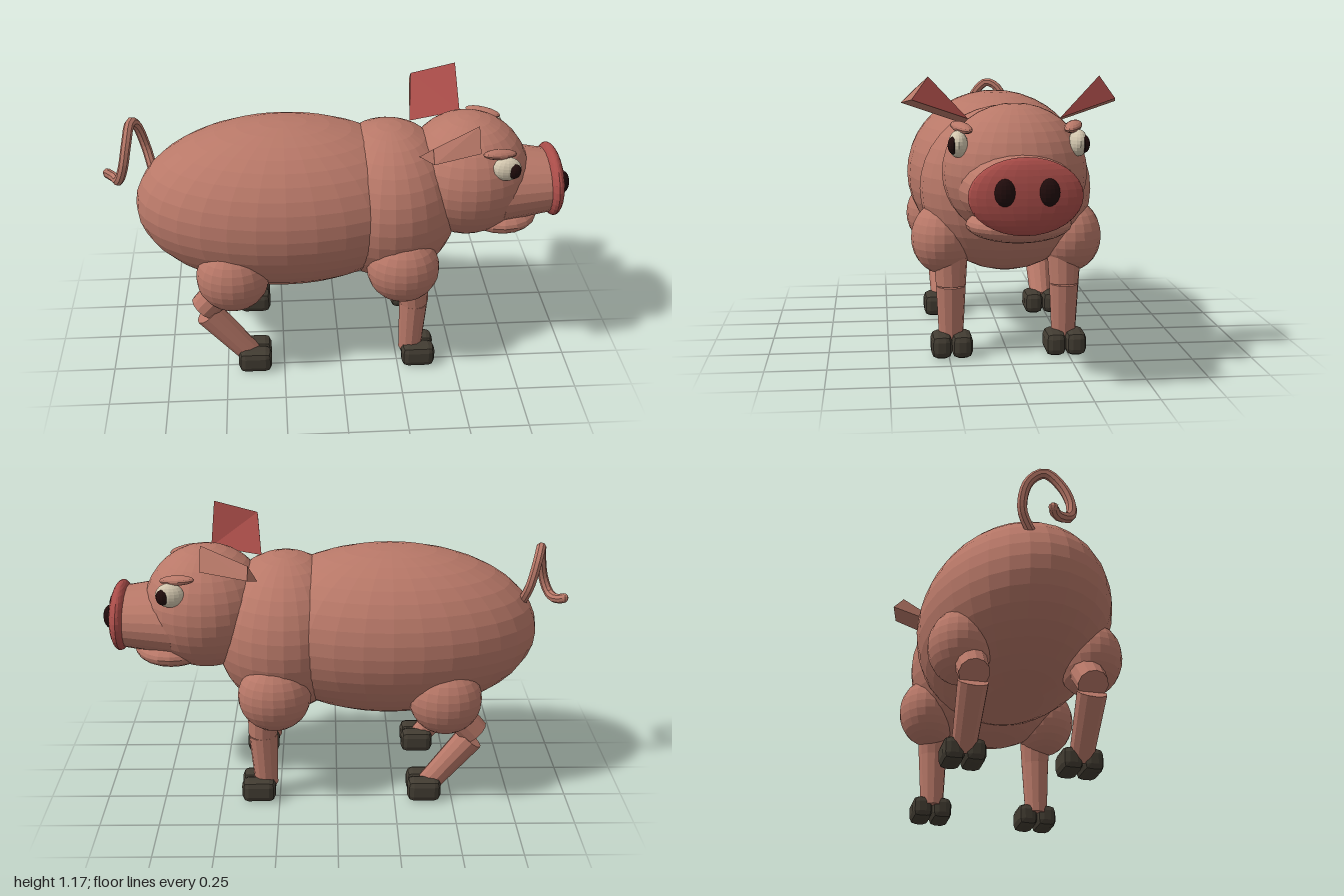
import * as THREE from 'three';
import { RoundedBoxGeometry } from 'three/addons/geometries/RoundedBoxGeometry.js';

const mat = (name, color, side = THREE.FrontSide) => {
  const m = new THREE.MeshStandardMaterial({ color, side });
  m.name = name;
  return m;
};

// Faceted normals
const flat = (g) => {
  const f = g.index ? g.toNonIndexed() : g;
  f.computeVertexNormals();
  return f;
};

export function createModel() {
  const skin = mat('skin pink', 0xb87868);
  const red = mat('snout red', 0xa84c48);
  const hoof = mat('hoof grey', 0x423c32);
  const white = mat('eye white', 0xd2c6ae);
  const dark = mat('dark brown', 0x200c0c);

  const pig = new THREE.Group();
  pig.name = 'pig';
  const add = (name, geo, material, parent = pig) => {
    const m = new THREE.Mesh(flat(geo), material);
    m.name = name;
    parent.add(m);
    return m;
  };
  const ellipsoid = (name, c, r, material, ws = 20, hs = 14, parent = pig) => {
    const m = add(name, new THREE.SphereGeometry(1, ws, hs).scale(...r), material, parent);
    m.position.set(...c);
    return m;
  };
  // Tapered cylinder running from a to b
  const limb = (name, a, b, ra, rb, parent) => {
    const p = new THREE.Vector3(...a), q = new THREE.Vector3(...b);
    const d = q.clone().sub(p);
    const m = add(name, new THREE.CylinderGeometry(rb, ra, d.length(), 12), skin, parent);
    m.position.copy(p).add(q).multiplyScalar(0.5);
    m.quaternion.setFromUnitVectors(new THREE.Vector3(0, 1, 0), d.normalize());
  };

  // Trunk and head
  ellipsoid('body', [-0.23, 0.7, 0], [0.64, 0.367, 0.4], skin, 32, 20);
  ellipsoid('chest', [0.22, 0.69, 0], [0.31, 0.348, 0.36], skin, 28, 18);
  ellipsoid('head', [0.56, 0.805, 0], [0.27, 0.267, 0.285], skin, 28, 18);
  ellipsoid('jaw', [0.71, 0.622, 0], [0.17, 0.07, 0.205], skin);

  // Snout
  const muzzle = new THREE.CylinderGeometry(0.8, 1, 0.21, 24)
    .rotateZ(-Math.PI / 2).scale(1, 0.16, 0.232);
  add('muzzle', muzzle, skin).position.set(0.805, 0.755, 0);
  ellipsoid('snoutDisc', [0.93, 0.76, 0], [0.05, 0.145, 0.212], red, 24, 16);

  // Ears: wedges widening outward, red on the inner and front faces
  const P = {
    a: [0.55, 1.01, 0.18], b: [0.545, 1.175, 0.335], c: [0.545, 1.085, 0.4],
    A: [0.33, 0.97, 0.18], B: [0.355, 1.107, 0.39], C: [0.355, 1.06, 0.437],
  };
  const faces = (list, s) => {
    const pos = [];
    for (const f of list) {
      for (let i = 1; i < f.length - 1; i++) {
        const tri = s > 0 ? [f[0], f[i], f[i + 1]] : [f[0], f[i + 1], f[i]];
        for (const k of tri) pos.push(P[k][0], P[k][1], P[k][2] * s);
      }
    }
    const g = new THREE.BufferGeometry();
    g.setAttribute('position', new THREE.Float32BufferAttribute(pos, 3));
    return g;
  };

  for (const s of [1, -1]) {
    const side = s < 0 ? 'right' : 'left';

    const ear = new THREE.Group();
    ear.name = side + 'Ear';
    pig.add(ear);
    add('earOuter', faces(['bBCc', 'cCAa', 'ACB'], s), skin, ear);
    add('earInner', faces(['aABb', 'abc'], s), red, ear);

    // Face details
    ellipsoid(side + 'Eye', [0.69, 0.928, 0.23 * s], [0.06, 0.052, 0.037], white, 16, 12);
    ellipsoid(side + 'Pupil', [0.716, 0.926, 0.249 * s], [0.03, 0.034, 0.022], dark, 12, 10);
    const brow = ellipsoid(side + 'Brow', [0.66, 0.988, 0.215 * s], [0.08, 0.02, 0.032], skin, 14, 8);
    brow.rotation.set(0, 0.35 * s, -0.12);
    ellipsoid(side + 'Nostril', [0.966, 0.78, 0.08 * s], [0.032, 0.052, 0.04], dark, 14, 10);

    // Legs
    const leg = (name, x, hip, knee) => {
      const z = 0.238 * s;
      const g = new THREE.Group();
      g.name = name;
      pig.add(g);
      ellipsoid('thigh', [hip[0], hip[1], 0.268 * s], [0.155, 0.153, 0.132], skin, 20, 14, g);
      limb('upperLeg', [hip[2], 0.44, z], [knee[0], knee[1], z], 0.072, 0.062, g);
      limb('lowerLeg', [knee[2], knee[3], z], [knee[4], 0.06, z], 0.062, 0.05, g);
      for (const t of [-1, 1]) {
        const toe = add('toe', new RoundedBoxGeometry(0.145, 0.1, 0.086, 1, 0.028), hoof, g);
        toe.position.set(x, 0.05, z + t * 0.043);
      }
    };
    leg(side + 'FrontLeg', 0.34, [0.265, 0.49, 0.31], [0.32, 0.295, 0.318, 0.295, 0.308]);
    leg(side + 'BackLeg', -0.378, [-0.46, 0.472, -0.47], [-0.595, 0.3, -0.575, 0.275, -0.4]);
  }

  // Curled tail
  const tail = new THREE.CatmullRomCurve3([
    [-0.79, 0.82, -0.05], [-0.82, 0.92, -0.1], [-0.85, 1.03, -0.08], [-0.87, 1.065, -0.02],
    [-0.885, 1.0, 0.045], [-0.905, 0.9, 0.075], [-0.93, 0.835, 0.055],
    [-0.955, 0.825, 0.0], [-0.985, 0.835, -0.02],
  ].map((p) => new THREE.Vector3(...p)));
  add('tail', new THREE.TubeGeometry(tail, 28, 0.021, 8), skin);
  ellipsoid('tailTip', [-0.985, 0.835, -0.02], [0.018, 0.02, 0.02], skin, 8, 6);

  return pig;
}
